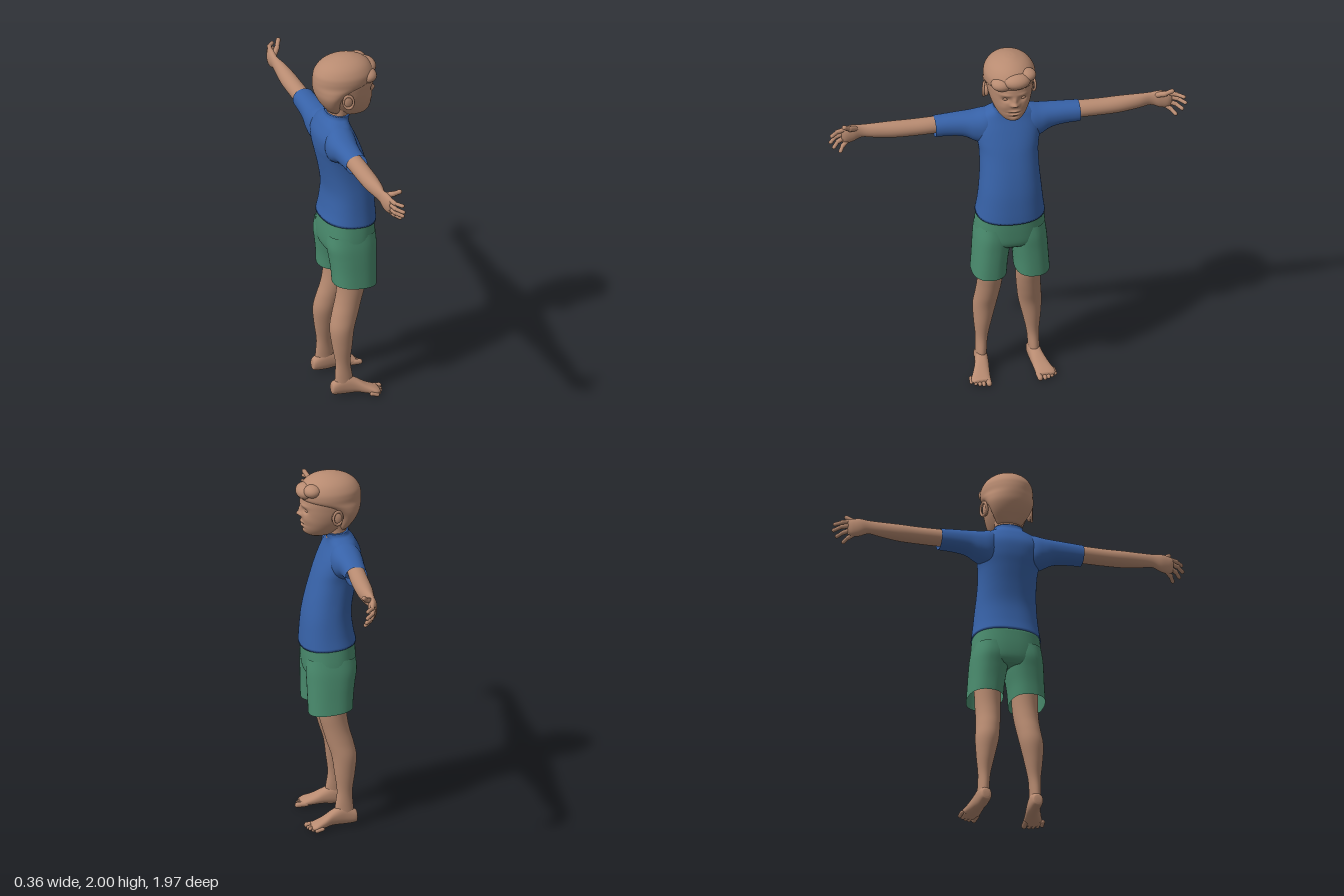
import * as THREE from 'three';

const mat = (name, color, side = THREE.FrontSide) => {
  const m = new THREE.MeshStandardMaterial({ color, side });
  m.name = name;
  return m;
};

// Smooth skin over rings [t, a0, a1, b0, b1]: t along the axis, a and b are the ring's extents.
// Axis y uses a = x, b = z; axis z uses a = x, b = y; axis x uses a = y, b = z.
function loft(axis, rows, { n = 2, seg = 40, sub = 5, cap = true, deform } = {}) {
  const curve = new THREE.CubicInterpolant(rows.map((_, i) => i), rows.flat(), 5, new Float32Array(5));
  const steps = (rows.length - 1) * sub, pos = [], idx = [];
  const put = (t, a, b) => {
    const p = axis === 'y' ? new THREE.Vector3(a, t, b)
      : axis === 'z' ? new THREE.Vector3(a, b, t) : new THREE.Vector3(t, a, b);
    if (deform) deform(p);
    pos.push(p.x, p.y, p.z);
  };
  const power = v => Math.sign(v) * Math.abs(v) ** (2 / n);
  const tri = (a, b, c) => (axis === 'y' ? idx.push(a, c, b) : idx.push(a, b, c));
  for (let i = 0; i <= steps; i++) {
    const [t, a0, a1, b0, b1] = curve.evaluate(i / sub);
    for (let j = 0; j < seg; j++) {
      const u = j / seg * Math.PI * 2;
      put(t, (a0 + a1) / 2 + (a1 - a0) / 2 * power(Math.cos(u)), (b0 + b1) / 2 + (b1 - b0) / 2 * power(Math.sin(u)));
    }
  }
  for (let i = 0; i < steps; i++) for (let j = 0; j < seg; j++) {
    const k = (j + 1) % seg, a = i * seg + j, b = i * seg + k;
    tri(a, b, b + seg);
    tri(a, b + seg, a + seg);
  }
  if (cap) [rows[0], rows[rows.length - 1]].forEach(([t, a0, a1, b0, b1], end) => {
    const c = pos.length / 3, base = end ? steps * seg : 0;
    put(t, (a0 + a1) / 2, (b0 + b1) / 2);
    for (let j = 0; j < seg; j++) {
      const a = base + j, b = base + (j + 1) % seg;
      end ? tri(a, b, c) : tri(b, a, c);
    }
  });
  const g = new THREE.BufferGeometry();
  g.setAttribute('position', new THREE.Float32BufferAttribute(pos, 3));
  g.setIndex(idx);
  g.computeVertexNormals();
  return g;
}

const symmetric = rows => rows.map(([y, x0, x1, z]) => [y, x0, x1, -z, z]);

function mirrored(geo) {
  const g = geo.clone(), p = g.attributes.position, m = g.attributes.normal, ix = g.index.array;
  for (let i = 0; i < p.count; i++) { p.setZ(i, -p.getZ(i)); m.setZ(i, -m.getZ(i)); }
  for (let i = 0; i < ix.length; i += 3) [ix[i], ix[i + 1]] = [ix[i + 1], ix[i]];
  return g;
}

// Rounded rod between two points
function rod(a, b, r) {
  const p = new THREE.Vector3(...a), d = new THREE.Vector3(...b).sub(p), len = d.length();
  const g = new THREE.CapsuleGeometry(r, len, 5, 12);
  g.applyQuaternion(new THREE.Quaternion().setFromUnitVectors(new THREE.Vector3(0, 1, 0), d.clone().normalize()));
  return g.translate(...p.addScaledVector(d, 0.5).toArray());
}

const blob = (c, r) => new THREE.SphereGeometry(1, 24, 16).scale(...r).translate(...c);

export function createModel() {
  const skin = mat('skin', 0xb88b71), shirt = mat('shirt blue', 0x3762a8, THREE.DoubleSide),
    shorts = mat('shorts green', 0x4a8c6e, THREE.DoubleSide);
  const model = new THREE.Group(), body = new THREE.Group();
  body.name = 'child';
  body.position.z = -0.008;
  model.add(body);
  const add = (name, geo, m) => {
    const mesh = new THREE.Mesh(geo, m);
    mesh.name = name;
    body.add(mesh);
  };
  const pair = (name, geo, m) => { add(name + 'Left', geo, m); add(name + 'Right', mirrored(geo), m); };

  // Shirt: torso, collar and sleeves
  const tilt = p => { p.y -= 0.08 * (p.x + 0.01); };
  add('shirtTorso', loft('y', symmetric([
    [1.03, -0.15, 0.156, 0.188], [1.1, -0.135, 0.152, 0.178], [1.2, -0.125, 0.142, 0.168], [1.3, -0.138, 0.122, 0.16],
    [1.4, -0.16, 0.094, 0.16], [1.47, -0.175, 0.07, 0.172], [1.54, -0.175, 0.04, 0.178], [1.6, -0.148, 0.012, 0.15],
    [1.63, -0.126, 0.006, 0.105], [1.645, -0.115, 0.012, 0.084], [1.665, -0.11, 0.018, 0.079],
  ]), { n: 2.3, seg: 56, deform: tilt }), shirt);
  pair('sleeve', loft('z', [
    [0.05, -0.13, 0, 1.4, 1.635], [0.12, -0.162, 0.01, 1.42, 1.627], [0.18, -0.164, 0, 1.445, 1.615],
    [0.24, -0.156, -0.016, 1.476, 1.61], [0.32, -0.15, -0.025, 1.487, 1.606], [0.397, -0.146, -0.027, 1.49, 1.602],
  ], { n: 2.2, cap: false }), shirt);

  // Shorts: hips and two open legs
  add('shortsHips', loft('y', symmetric([
    [0.85, -0.12, 0.115, 0.17], [0.88, -0.14, 0.135, 0.19], [0.95, -0.146, 0.143, 0.19], [1.05, -0.142, 0.148, 0.18],
  ]), { n: 2.4, seg: 56 }), shorts);
  pair('shortsLeg', loft('y', [
    [0.67, -0.115, 0.125, 0.022, 0.213], [0.75, -0.12, 0.128, 0.016, 0.207], [0.83, -0.13, 0.131, 0.004, 0.202],
    [0.9, -0.14, 0.134, -0.004, 0.196], [0.97, -0.135, 0.13, -0.005, 0.185],
  ], { n: 2.4, cap: false, deform: p => { p.y -= 0.1 * p.x * THREE.MathUtils.clamp((0.9 - p.y) / 0.2, 0, 1); } }), shorts);

  // Legs, feet and toes
  pair('leg', loft('y', [
    [0.06, -0.118, -0.01, 0.116, 0.178], [0.12, -0.114, -0.016, 0.113, 0.175], [0.2, -0.11, -0.026, 0.106, 0.174],
    [0.3, -0.125, -0.014, 0.085, 0.183], [0.4, -0.135, 0, 0.062, 0.188], [0.48, -0.12, 0.025, 0.05, 0.18],
    [0.56, -0.098, 0.048, 0.04, 0.174], [0.65, -0.085, 0.07, 0.034, 0.174], [0.8, -0.085, 0.085, 0.03, 0.175],
  ]), skin);
  pair('foot', loft('x', [
    [-0.136, 0.035, 0.065, 0.13, 0.16], [-0.125, 0.018, 0.09, 0.115, 0.172], [-0.06, 0.012, 0.12, 0.11, 0.18],
    [0, 0.014, 0.097, 0.114, 0.192], [0.05, 0.008, 0.066, 0.12, 0.212], [0.095, 0.004, 0.045, 0.124, 0.23],
    [0.12, 0.008, 0.033, 0.13, 0.218],
  ], { n: 2.3 }), skin);
  for (let i = 0; i < 5; i++) {
    const r = i ? 0.0105 : 0.015, z = (i ? 0.144 : 0.137) + i * 0.0205;
    pair('toe' + (i + 1), rod([0.09 - i * 0.006, 0.02, z], [0.138 - i * i * 0.0025, r + 0.001, z + 0.003], r), skin);
  }

  // Arms with palms facing forward
  pair('arm', loft('z', [
    [0.3, -0.14, -0.05, 1.506, 1.598], [0.42, -0.138, -0.045, 1.505, 1.598], [0.52, -0.137, -0.045, 1.505, 1.597],
    [0.62, -0.135, -0.048, 1.507, 1.599], [0.72, -0.125, -0.06, 1.517, 1.6], [0.79, -0.118, -0.075, 1.524, 1.6],
    [0.84, -0.118, -0.068, 1.506, 1.607], [0.88, -0.11, -0.065, 1.502, 1.602], [0.905, -0.1, -0.071, 1.512, 1.594],
  ]), skin);
  const fingers = [ // base, middle, tip
    [[-0.088, 1.588, 0.88], [-0.075, 1.584, 0.93], [-0.045, 1.58, 0.965]],
    [[-0.09, 1.564, 0.885], [-0.075, 1.555, 0.938], [-0.042, 1.545, 0.972]],
    [[-0.09, 1.54, 0.88], [-0.072, 1.524, 0.928], [-0.04, 1.512, 0.954]],
    [[-0.088, 1.516, 0.87], [-0.068, 1.498, 0.9], [-0.04, 1.483, 0.918]],
    [[-0.088, 1.585, 0.825], [-0.056, 1.606, 0.865], [-0.036, 1.632, 0.898]],
  ];
  fingers.forEach(([a, b, c], i) => {
    const name = i < 4 ? 'finger' + (i + 1) : 'thumb', r = i < 4 ? 0.0125 : 0.015;
    pair(name + 'Base', rod(a, b, r), skin);
    pair(name + 'Tip', rod(b, c, r * 0.85), skin);
  });

  // Neck, and a head whose face is shaped by soft bumps [y, z, sizeY, sizeZ, depth]
  add('neck', loft('y', symmetric([[1.56, -0.11, 0, 0.07], [1.66, -0.104, 0.012, 0.072], [1.76, -0.1, 0.03, 0.08]])), skin);
  const bumps = [
    [1.772, 0, 0.013, 0.017, 0.022], [1.795, 0, 0.022, 0.011, 0.012], [1.768, 0.018, 0.01, 0.009, 0.006],
    [1.803, 0.046, 0.015, 0.022, -0.015], [1.832, 0.048, 0.01, 0.03, 0.005], [1.755, 0.06, 0.025, 0.025, 0.005],
    [1.728, 0, 0.007, 0.026, 0.009], [1.718, 0, 0.003, 0.032, -0.009], [1.707, 0, 0.007, 0.022, 0.008],
    [1.692, 0, 0.006, 0.03, -0.005], [1.67, 0, 0.013, 0.025, 0.006],
  ].flatMap(b => (b[1] ? [b, [b[0], -b[1], ...b.slice(2)]] : [b]));
  const face = p => {
    if (p.x < 0.04) return;
    let d = 0;
    for (const [y, z, sy, sz, depth] of bumps) d += depth * Math.exp(-(((p.y - y) / sy) ** 2) - ((p.z - z) / sz) ** 2);
    p.x += d;
  };
  add('head', loft('y', symmetric([
    [1.645, 0.01, 0.095, 0.03], [1.66, -0.04, 0.12, 0.056], [1.69, -0.085, 0.137, 0.08], [1.73, -0.115, 0.142, 0.1],
    [1.77, -0.14, 0.145, 0.113], [1.81, -0.158, 0.148, 0.121], [1.86, -0.165, 0.146, 0.126], [1.91, -0.16, 0.13, 0.12],
    [1.96, -0.11, 0.085, 0.08],
  ]), { n: 2.15, seg: 120, sub: 14, deform: face }), skin);
  pair('eye', blob([0.118, 1.802, 0.046], [0.012, 0.009, 0.018]), skin);
  pair('ear', blob([-0.03, 1.78, 0.123], [0.03, 0.038, 0.015]), skin);
  pair('earRim', new THREE.TorusGeometry(0.03, 0.007, 10, 28).scale(0.9, 1.25, 1).rotateY(-0.35).translate(-0.032, 1.783, 0.134), skin);

  // Hair: cap with a swept fringe
  add('hairCap', loft('y', symmetric([
    [1.685, -0.108, -0.03, 0.065], [1.74, -0.148, -0.035, 0.1], [1.79, -0.172, -0.015, 0.122], [1.83, -0.18, 0.05, 0.132],
    [1.86, -0.182, 0.14, 0.137], [1.89, -0.18, 0.155, 0.139], [1.92, -0.172, 0.15, 0.134], [1.955, -0.145, 0.125, 0.113],
    [1.98, -0.105, 0.088, 0.08], [1.996, -0.05, 0.04, 0.035], [2, -0.008, 0, 0.003],
  ]), { seg: 56 }), skin);
  add('fringeCentre', blob([0.12, 1.908, -0.015], [0.057, 0.045, 0.075]), skin);
  add('fringeLeft', blob([0.1, 1.888, 0.06], [0.054, 0.04, 0.062]).rotateX(0), skin);
  add('fringeRight', blob([0.095, 1.925, -0.075], [0.048, 0.036, 0.05]), skin);
  return model;
}
